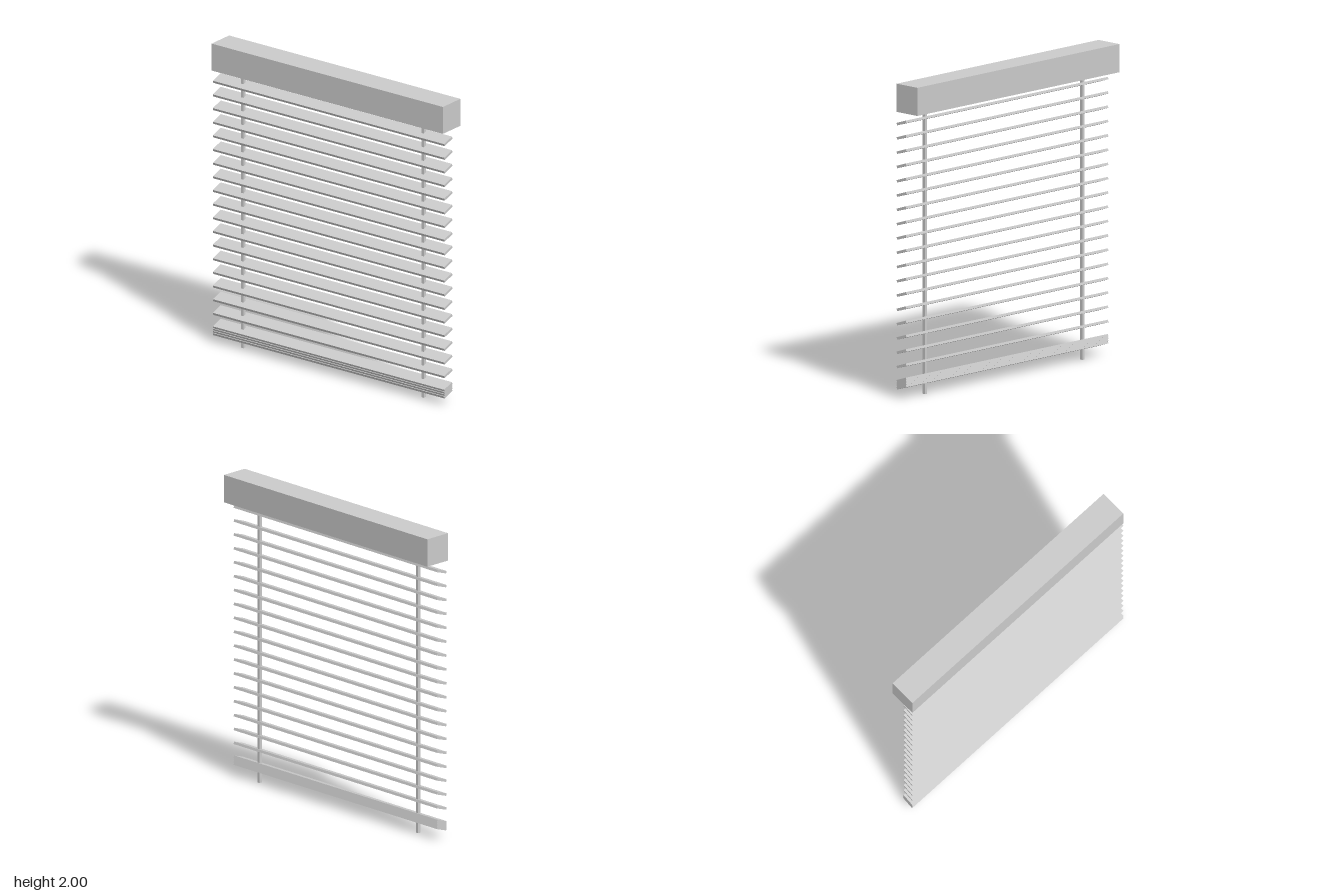
import * as THREE from 'three';

const grey = new THREE.MeshStandardMaterial({ color: 0xcccccc, flatShading: true });

function addBox(parent, name, size, position, tilt = 0) {
  const mesh = new THREE.Mesh(new THREE.BoxGeometry(...size), grey);
  mesh.name = name;
  mesh.position.set(...position);
  mesh.rotation.x = tilt;
  parent.add(mesh);
}

export function createModel() {
  const model = new THREE.Group();
  model.name = 'windowBlind';

  // Head rail
  addBox(model, 'headRail', [1.822, 0.18, 0.18], [-0.004, 1.91, 0]);

  // Slats, tilted so the front edge hangs lower
  const tilt = 0.32;
  const addSlat = (parent, name, y) =>
    addBox(parent, name, [1.822, 0.016, 0.085], [0.002, y, 0.042], tilt);

  const slats = new THREE.Group();
  slats.name = 'slats';
  const top = 1.757, step = 0.0912;
  for (let i = 0; i < 18; i++) addSlat(slats, 'slat', top - i * step);
  model.add(slats);

  // Gathered slats forming the bottom bar
  const bottom = new THREE.Group();
  bottom.name = 'bottomBar';
  for (let i = 0; i < 4; i++) addSlat(bottom, 'stackedSlat', 0.116 - i * 0.015);
  model.add(bottom);

  // Lift cords
  for (const [name, x] of [['rightCord', -0.708], ['leftCord', 0.712]]) {
    addBox(model, name, [0.018, 1.83, 0.022], [x, 0.915, 0.033]);
  }
  return model;
}
